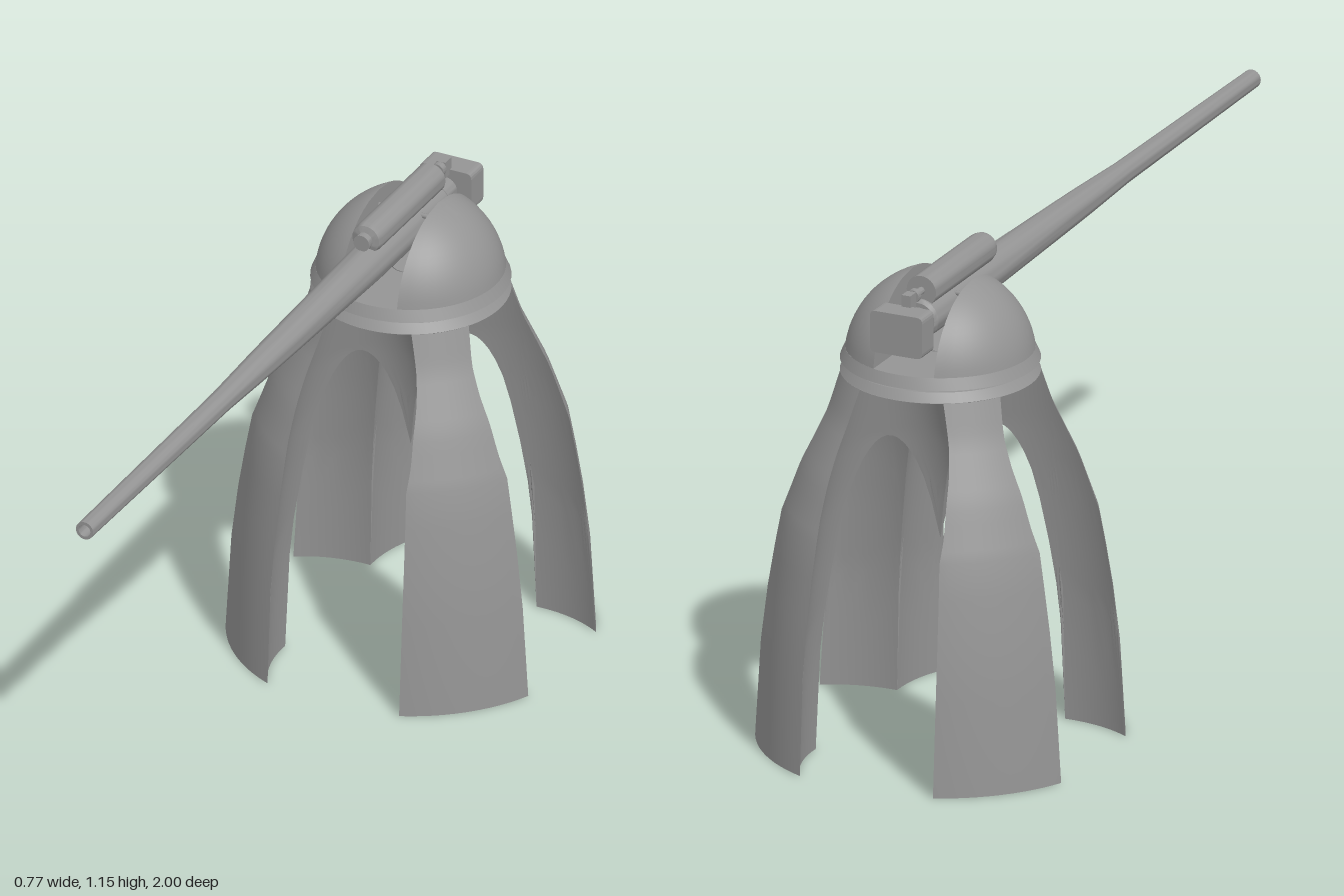
import * as THREE from 'three';
import { toCreasedNormals } from 'three/addons/utils/BufferGeometryUtils.js';

const CZ = -0.615; // axis of the tower
const GX = -0.005; // gun centre line
const GY = 1.047;
const mat = new THREE.MeshStandardMaterial({ color: 0x949494, side: THREE.DoubleSide });

// Surface through rows of points, all rows the same length
function loft(rows) {
  const n = rows[0].length, idx = [];
  for (let i = 0; i < rows.length - 1; i++) {
    for (let j = 0; j < n - 1; j++) {
      const a = i * n + j, b = a + n;
      idx.push(a, a + 1, b, a + 1, b + 1, b);
    }
  }
  const g = new THREE.BufferGeometry();
  g.setAttribute('position', new THREE.Float32BufferAttribute(rows.flat(2), 3));
  g.setIndex(idx);
  return toCreasedNormals(g, 0.35);
}

function add(parent, name, geo, x = 0, y = 0, z = 0) {
  const m = new THREE.Mesh(geo, mat);
  m.name = name;
  m.position.set(x, y, z);
  parent.add(m);
  return m;
}

function lathe(pts, seg = 40) {
  return toCreasedNormals(new THREE.LatheGeometry(pts.map(p => new THREE.Vector2(...p)), seg), 0.45);
}
// Turned part lying along z
const turned = (pts, seg = 28) => lathe(pts, seg).rotateX(Math.PI / 2);

function interp(table, t) {
  let i = 1;
  while (i < table.length - 1 && t > table[i][0]) i++;
  const [t0, v0] = table[i - 1], [t1, v1] = table[i];
  return v0 + (v1 - v0) * (t - t0) / (t1 - t0);
}

// Where f changes from negative to positive
function solve(f, lo, hi) {
  for (let i = 0; i < 40; i++) {
    const mid = (lo + hi) / 2;
    if (f(mid) < 0) lo = mid; else hi = mid;
  }
  return (lo + hi) / 2;
}
const steps = (a, b, n) => Array.from({ length: n + 1 }, (_, i) => a + (b - a) * i / n);

// Outer radius of the tower by height
const RADIUS = [[0, 0.421], [0.28, 0.405], [0.535, 0.364], [0.67, 0.317], [0.8, 0.256], [0.885, 0.228]];
// Each opening is an oval bell with a flat crown: height by half-width
const BELL = [[0.107, 0.885], [0.128, 0.8], [0.1425, 0.74], [0.156, 0.67], [0.168, 0.6],
  [0.1836, 0.475], [0.204, 0.28], [0.2124, 0]];
const R0 = 0.107, R1 = 0.2124, DEPTH = 0.226, OVAL = 0.8124;
const bell = (r, a) => [r * Math.sin(a), interp(BELL, r), DEPTH + r * Math.cos(a) / OVAL];
const outside = p => Math.hypot(p[0], p[2]) - interp(RADIUS, p[1]);
const pastDiagonal = p => p[0] - p[2];

// Angles at the outer foot corner, inner foot corner and crown corner
const A_FOOT = solve(a => -outside(bell(R1, a)), 0, Math.PI);
const A_INNER = solve(a => pastDiagonal(bell(R1, a)), A_FOOT, 1.8);
const A_CROWN = solve(a => -outside(bell(R0, a)), 0, Math.PI);

// Bell wall, one column per angle, from the outer face (or crown) to the diagonal (or ground)
function bellColumn(a) {
  const from = a < A_CROWN ? solve(r => -outside(bell(r, a)), R0, R1) : R0;
  const to = a > A_INNER ? solve(r => pastDiagonal(bell(r, a)), from, R1) : R1;
  return steps(from, to, 14).map(r => bell(r, a));
}
const sideCols = steps(A_FOOT, A_INNER, 16).map(bellColumn);
const topCols = steps(A_INNER, A_CROWN, 4).map(bellColumn);
const backCols = steps(A_CROWN, Math.PI, 16).map(bellColumn);

const flip = col => col.map(([x, y, z]) => [-x, y, z]);
function vaultGeometry() {
  const half = [...sideCols, ...topCols.slice(1), ...backCols.slice(1)];
  return loft([...half, ...half.slice(0, -1).reverse().map(flip)]);
}

// Flat crown of the opening
function crownGeometry() {
  const edge = backCols.map(col => col[0]);
  const x0 = edge[0][0], r = interp(RADIUS, 0.885);
  const rim = edge.map(([x]) => [x, 0.885, Math.sqrt(r * r - Math.min(x, x0) ** 2)]);
  return loft([...edge.map((p, i) => [p, rim[i]]), ...edge.map((p, i) => flip([p, rim[i]])).reverse()]);
}

// Points round the tower between two openings
function arcRow([x, y, z]) {
  const a = Math.atan2(x, z), r = Math.hypot(x, z);
  return steps(a, Math.PI / 2 - a, 12).map(t => [r * Math.sin(t), y, r * Math.cos(t)]);
}
// Curved outer face of one leg
const legGeometry = () => loft([...sideCols, ...topCols.slice(1)].map(col => arcRow(col[0])));

// Foot: cusped wedge closing the leg at the ground
function footGeometry() {
  const wall = sideCols.map(col => col[col.length - 1]).map(([x, , z]) => new THREE.Vector2(x, z));
  const other = wall.slice(0, -1).reverse().map(p => new THREE.Vector2(p.y, p.x));
  const arc = arcRow(sideCols[0][0]).slice(1, -1).reverse().map(([x, , z]) => new THREE.Vector2(x, z));
  return new THREE.ShapeGeometry(new THREE.Shape([...wall, ...other, ...arc])).rotateX(Math.PI / 2);
}

// One half of the split dome, cut flat at x = d
function domeHalf(d) {
  const R = 0.219, y0 = 0.912;
  const rows = steps(Math.asin(0.031 / R), Math.acos(d / R), 14).map(e => {
    const r = R * Math.cos(e), y = y0 + R * Math.sin(e), a = Math.acos(Math.min(1, d / r));
    const row = steps(-a, a, 24).map(t => [r * Math.cos(t), y, r * Math.sin(t)]);
    return [...row, row[0].slice()]; // flat wall of the gun slot
  });
  return loft(rows);
}

export function createModel() {
  const root = new THREE.Group();
  root.name = 'gunTower';

  // Four-legged base
  const base = new THREE.Group();
  base.name = 'base';
  base.position.z = CZ;
  root.add(base);
  const parts = { archVault: vaultGeometry(), archCrown: crownGeometry(), leg: legGeometry(), foot: footGeometry() };
  for (let i = 0; i < 4; i++) {
    for (const [name, geo] of Object.entries(parts)) add(base, name, geo).rotation.y = i * Math.PI / 2;
  }
  add(base, 'baseRing', lathe([[0, 0.886], [0.229, 0.886], [0.214, 0.907], [0, 0.907]], 48));

  // Rotating dome
  const turret = new THREE.Group();
  turret.name = 'turret';
  turret.position.z = CZ;
  root.add(turret);
  add(turret, 'pivot', new THREE.CylinderGeometry(0.045, 0.045, 0.04, 32), 0, 0.925);
  add(turret, 'domeFloor', lathe([[0, 0.916], [0.229, 0.916], [0.217, 0.943], [0, 0.943]], 48));
  add(turret, 'domeLeft', domeHalf(0.07));
  add(turret, 'domeRight', domeHalf(0.081)).rotation.y = Math.PI;
  const pin = new THREE.CylinderGeometry(0.006, 0.006, 0.152, 12).rotateZ(Math.PI / 2);
  add(turret, 'trunnionPin', pin, GX, 1.076, 0);

  // Gun
  const gun = new THREE.Group();
  gun.name = 'gun';
  gun.position.set(GX, GY, 0);
  root.add(gun);
  add(gun, 'barrel', turned([[0, -0.74], [0.04, -0.74], [0.046, -0.73], [0.046, -0.4], [0.037, 0.0],
    [0.034, 0.12], [0.027, 0.32], [0.022, 1], [0.015, 1], [0.015, 0.85], [0, 0.85]]));
  add(gun, 'breechNeck', turned([[0, -0.81], [0.03, -0.81], [0.03, -0.73], [0, -0.73]]));

  // Breech block with rounded edges
  const s = new THREE.Shape(), w = 0.066, h = 0.05, q = 0.014;
  s.moveTo(-w + q, -h);
  s.lineTo(w - q, -h).quadraticCurveTo(w, -h, w, -h + q);
  s.lineTo(w, h - q).quadraticCurveTo(w, h, w - q, h);
  s.lineTo(-w + q, h).quadraticCurveTo(-w, h, -w, h - q);
  s.lineTo(-w, -h + q).quadraticCurveTo(-w, -h, -w + q, -h);
  add(gun, 'breechBlock', new THREE.ExtrudeGeometry(s, { depth: 0.06, bevelEnabled: false, curveSegments: 4 }),
    0, 0.002, -0.857);

  // Recoil cylinder above the barrel
  add(gun, 'recoilCylinder', turned([[0, -0.725], [0.037, -0.725], [0.037, -0.415], [0.034, -0.4],
    [0.02, -0.395], [0.02, -0.378], [0, -0.378]]), 0, 0.064);
  add(gun, 'recoilRod', turned([[0, -0.8], [0.009, -0.8], [0.009, -0.72], [0, -0.72]], 12), 0, 0.066);
  add(gun, 'rodCollar', turned([[0, -0.772], [0.016, -0.772], [0.016, -0.756], [0, -0.756]], 16), 0, 0.066);
  add(gun, 'rodBracket', new THREE.BoxGeometry(0.022, 0.04, 0.03), 0, 0.06, -0.79);
  return root;
}
